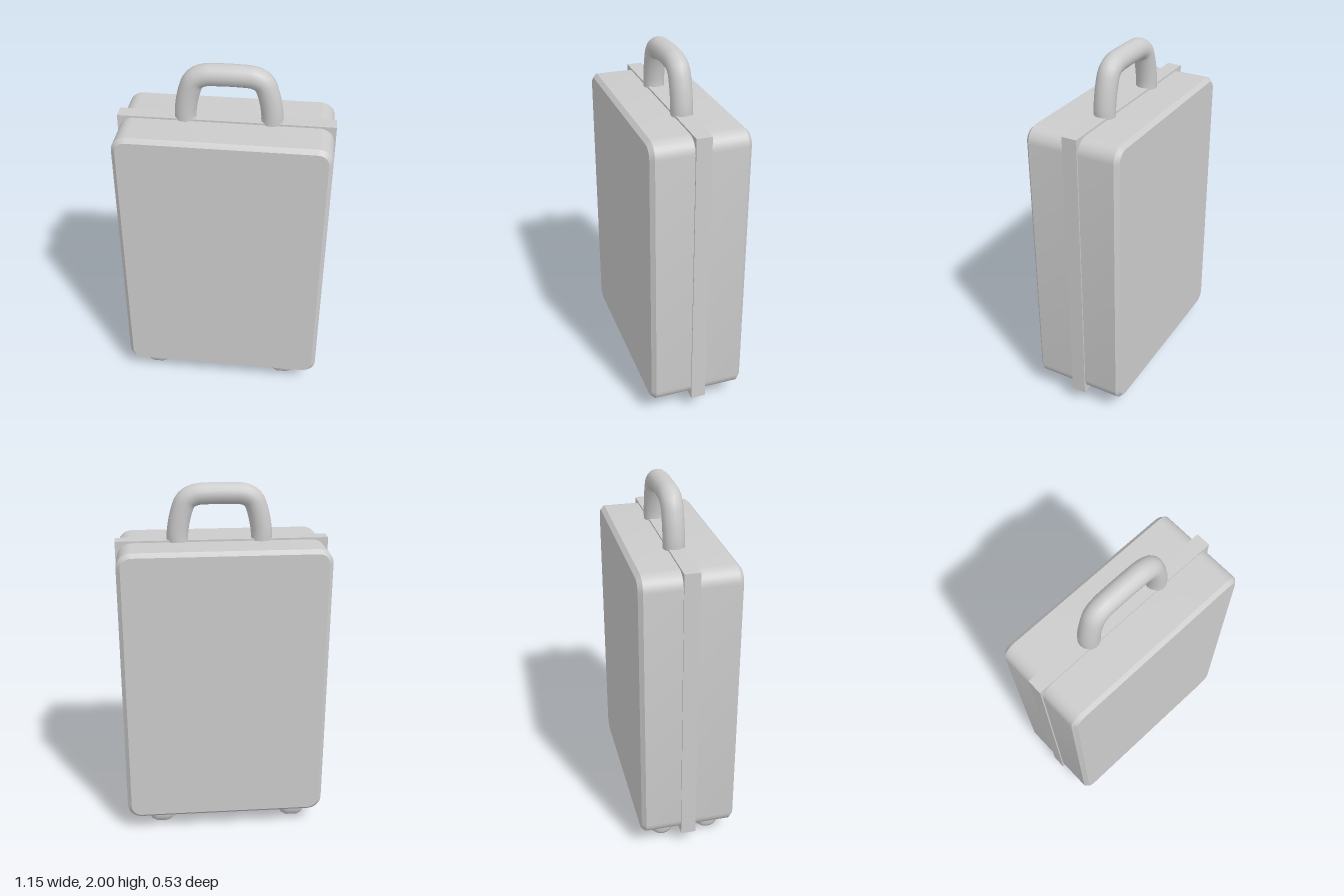
import * as THREE from 'three';
import { toCreasedNormals } from 'three/addons/utils/BufferGeometryUtils.js';

const material = new THREE.MeshStandardMaterial({ color: 0xcccccc });

function roundedRect(w, h, r) {
  const x = w / 2, y = h / 2, s = new THREE.Shape();
  s.moveTo(x, -y + r);
  s.lineTo(x, y - r);
  s.absarc(x - r, y - r, r, 0, Math.PI / 2);
  s.lineTo(-x + r, y);
  s.absarc(-x + r, y - r, r, Math.PI / 2, Math.PI);
  s.lineTo(-x, -y + r);
  s.absarc(-x + r, -y + r, r, Math.PI, Math.PI * 1.5);
  s.lineTo(x - r, -y);
  s.absarc(x - r, -y + r, r, Math.PI * 1.5, Math.PI * 2);
  return s;
}

export function createModel() {
  const group = new THREE.Group();
  const add = (name, geometry, x = 0, y = 0, z = 0) => {
    const mesh = new THREE.Mesh(geometry, material);
    mesh.name = name;
    mesh.position.set(x, y, z);
    group.add(mesh);
    return mesh;
  };

  // Case body: rounded corners, chamfered front and back rims
  const bevel = 0.022, depth = 0.532;
  const body = new THREE.ExtrudeGeometry(roundedRect(1.138, 1.59, 0.08), {
    depth: depth - bevel * 2, bevelEnabled: true, bevelSize: bevel, bevelThickness: bevel,
    bevelOffset: -bevel, bevelSegments: 1, curveSegments: 4
  });
  body.translate(0, 0, -depth / 2 + bevel);
  add('caseBody', toCreasedNormals(body, 0.6), 0, 0.895, 0);

  // Square-cornered band around the middle seam
  add('seamBand', new THREE.BoxGeometry(1.154, 1.61, 0.083), 0, 0.895, -0.003);

  // Arched carrying handle
  const half = [[0.228, 1.66], [0.227, 1.74], [0.205, 1.85], [0.178, 1.91], [0.13, 1.936], [0.06, 1.942]];
  const mid = 0.012;
  const points = [
    ...half.map(([x, y]) => new THREE.Vector3(mid - x, y, 0)),
    ...half.map(([x, y]) => new THREE.Vector3(mid + x, y, 0)).reverse()
  ];
  add('handle', new THREE.TubeGeometry(new THREE.CatmullRomCurve3(points), 48, 0.058, 16), 0, 0, -0.007);

  // Four stubby rounded wheels, axles along x
  const profile = [[0, -0.075], [0.035, -0.075], [0.06, -0.06], [0.075, -0.03],
    [0.075, 0.03], [0.06, 0.06], [0.035, 0.075], [0, 0.075]];
  const wheel = new THREE.LatheGeometry(profile.map(([r, h]) => new THREE.Vector2(r, h)), 16);
  wheel.rotateZ(Math.PI / 2);
  for (const [side, x] of [['right', -0.41], ['left', 0.37]])
    for (const [end, z] of [['Front', 0.14], ['Back', -0.128]])
      add(`${side}${end}Wheel`, wheel, x, 0.075, z);

  return group;
}
